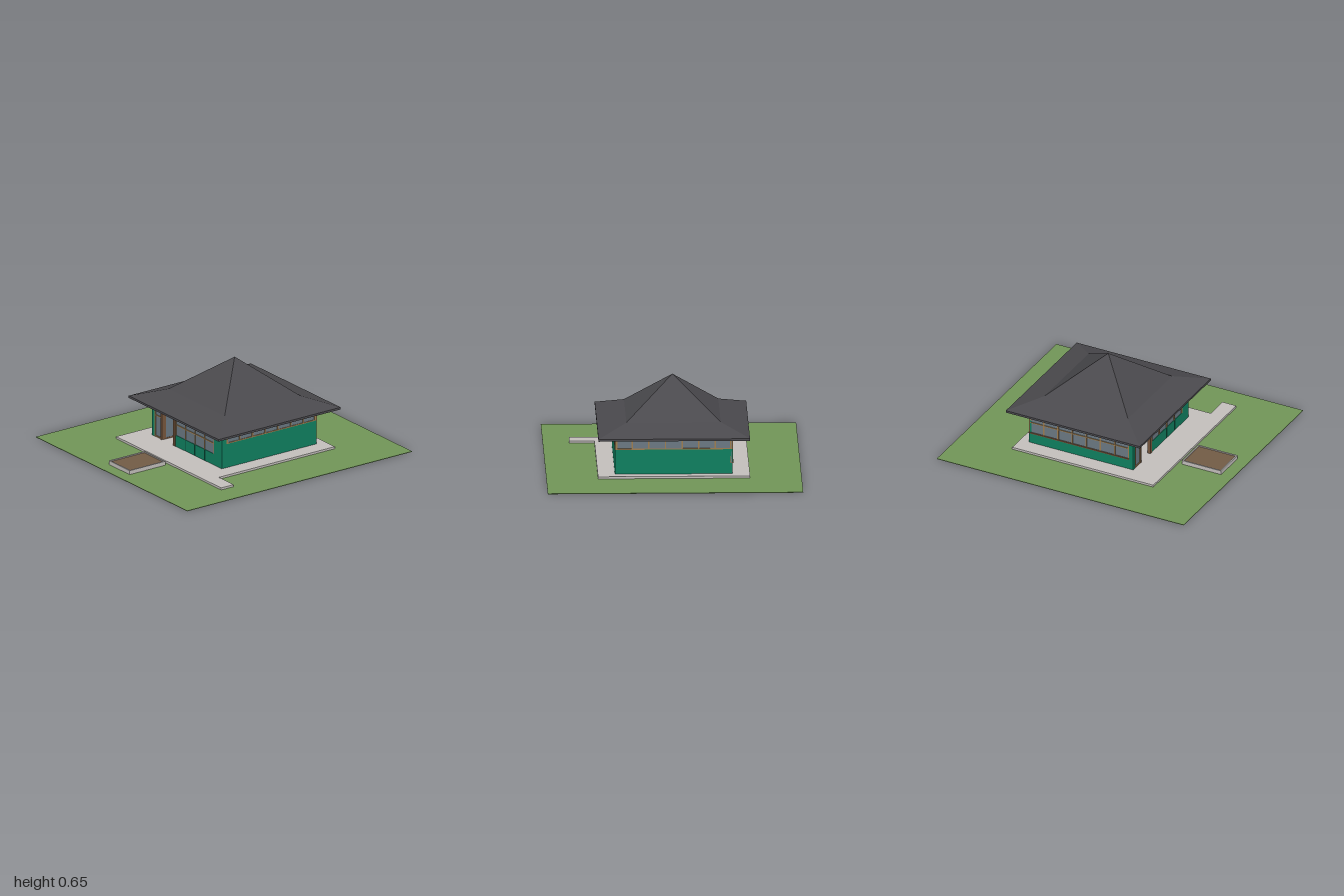
import * as THREE from 'three';

const mat = (name, color) => {
  const m = new THREE.MeshStandardMaterial({ color });
  m.name = name;
  return m;
};

export function createModel() {
  const grass = mat('grass green', 0x719557);
  const paving = mat('paving grey', 0xc2bebb);
  const wallGreen = mat('wall green', 0x0f7f5f);
  const roofGrey = mat('roof charcoal', 0x4a494d);
  const glass = mat('window glass', 0x6b7882);
  const timber = mat('light timber', 0x9c7c50);
  const brown = mat('post brown', 0x75553c);
  const soil = mat('soil brown', 0x725b45);
  const seam = mat('seam dark green', 0x0a4b39);

  const model = new THREE.Group();
  model.name = 'pavilion';

  // Box given by its minimum and maximum corners
  const box = (parent, name, m, [x0, y0, z0], [x1, y1, z1]) => {
    const mesh = new THREE.Mesh(new THREE.BoxGeometry(x1 - x0, y1 - y0, z1 - z0), m);
    mesh.position.set((x0 + x1) / 2, (y0 + y1) / 2, (z0 + z1) / 2);
    mesh.name = name;
    parent.add(mesh);
    return mesh;
  };

  // Ground and paving
  box(model, 'lawn', grass, [-0.915, 0, -1], [0.915, 0.004, 1]);
  box(model, 'terrace', paving, [-0.545, 0.004, -0.585], [0.545, 0.02, 0.558]);
  box(model, 'path', paving, [0.545, 0.004, 0.447], [0.725, 0.02, 0.558]);

  // Planting bed with a thin kerb
  const bed = new THREE.Group();
  bed.name = 'plantingBed';
  model.add(bed);
  const [bx0, bx1, bz0, bz1, k] = [-0.162, 0.09, 0.588, 0.905, 0.01];
  for (const x of [bx0, bx1 - k]) box(bed, 'kerbSide', paving, [x, 0.004, bz0], [x + k, 0.034, bz1]);
  for (const z of [bz0, bz1 - k]) box(bed, 'kerbEnd', paving, [bx0 + k, 0.004, z], [bx1 - k, 0.034, z + k]);
  box(bed, 'soil', soil, [bx0 + k, 0.004, bz0 + k], [bx1 - k, 0.027, bz1 - k]);

  // Two-pitch pyramid roof with a closed soffit
  const r = Math.SQRT2;
  const profile = [[0, 0.293], [0.543, 0.293], [0.543, 0.309], [0.338, 0.38], [0, 0.653]]
    .map(([x, y]) => new THREE.Vector2(x * r, y));
  const roofGeo = new THREE.LatheGeometry(profile, 4, Math.PI / 4).toNonIndexed();
  roofGeo.computeVertexNormals();
  const roof = new THREE.Mesh(roofGeo, roofGrey);
  roof.name = 'roof';
  roof.position.z = -0.095;
  model.add(roof);

  // Each side is built facing +z about the house centre, then turned
  const H = 0.422, T = 0.02, FLOOR = 0.02, TOP = 0.295;
  const house = new THREE.Group();
  house.name = 'house';
  house.position.z = -0.092;
  model.add(house);
  const side = (name, turn) => {
    const g = new THREE.Group();
    g.name = name;
    g.rotation.y = turn;
    house.add(g);
    return g;
  };
  const wall = (g, x0, x1, y0, y1) => box(g, 'wallPanel', wallGreen, [x0, y0, H - T], [x1, y1, H]);
  const bar = (g, m, x0, x1, y0, y1, out = 0.001) =>
    box(g, 'timberBar', m, [x0, y0, H - T], [x1, y1, H + out]);
  const pane = (g, x0, x1, y0, y1) =>
    box(g, 'glassPane', glass, [x0, y0, H - 0.012], [x1, y1, H - 0.004]);

  // Window band with evenly spaced uprights and level rails
  const windowBand = (g, x0, x1, y0, count, rails) => {
    pane(g, x0, x1, y0, TOP);
    for (let i = 0; i <= count; i++) {
      const x = x0 + 0.005 + ((x1 - x0 - 0.01) * i) / count;
      bar(g, timber, x - 0.005, x + 0.005, y0, TOP);
    }
    for (const y of rails) bar(g, timber, x0, x1, y - 0.004, y + 0.004);
  };

  // Front: corner window, open doorway, large window, solid pier
  const front = side('frontSide', 0);
  wall(front, -H, -0.39, FLOOR, TOP);
  windowBand(front, -0.39, -0.31, FLOOR, 1, [0.026, 0.185, 0.241]);
  bar(front, brown, -0.312, -0.298, FLOOR, 0.241, 0.004);
  bar(front, brown, -0.163, -0.138, FLOOR, TOP, 0.004);
  bar(front, timber, -0.312, -0.163, 0.236, 0.246);
  pane(front, -0.312, -0.163, 0.246, TOP);
  for (const x of [-0.235, -0.19]) bar(front, timber, x - 0.004, x + 0.004, 0.246, TOP);
  wall(front, -0.138, 0.33, FLOOR, 0.105);
  windowBand(front, -0.138, 0.33, 0.105, 4, [0.185, 0.241]);
  for (const x of [-0.02, 0.093, 0.215]) {
    box(front, 'panelSeam', seam, [x - 0.002, FLOOR, H], [x + 0.002, 0.105, H + 0.001]);
  }
  wall(front, 0.33, H, FLOOR, TOP);

  // Glazed door standing open into the room
  const door = new THREE.Group();
  door.name = 'openDoor';
  front.add(door);
  box(door, 'doorGlass', glass, [-0.303, 0.03, H - 0.12], [-0.297, 0.23, H - T]);
  for (const z of [H - 0.13, H - T - 0.012]) {
    box(door, 'doorStile', brown, [-0.305, FLOOR, z], [-0.295, 0.236, z + 0.012]);
  }
  for (const y of [FLOOR, 0.226]) {
    box(door, 'doorRail', brown, [-0.305, y, H - 0.118], [-0.295, y + 0.01, H - T - 0.012]);
  }

  // Right side and back: solid walls below a high window strip
  const right = side('rightSide', Math.PI / 2);
  const back = side('backSide', Math.PI);
  for (const [g, x0, x1] of [[right, -0.379, H], [back, -H, H]]) {
    wall(g, -H, H, FLOOR, 0.2);
    if (x0 > -H) wall(g, -H, x0, 0.2, TOP);
    windowBand(g, x0, x1, 0.2, 7, [0.204]);
  }

  // Left side: low wall, projecting sill and tall windows
  const left = side('leftSide', -Math.PI / 2);
  wall(left, -H, H, FLOOR, 0.1);
  wall(left, 0.39, H, 0.1, TOP);
  windowBand(left, -H, 0.39, 0.1, 7, [0.185, 0.241]);
  bar(left, brown, -H, 0.39, 0.096, 0.104, 0.006);

  return model;
}
